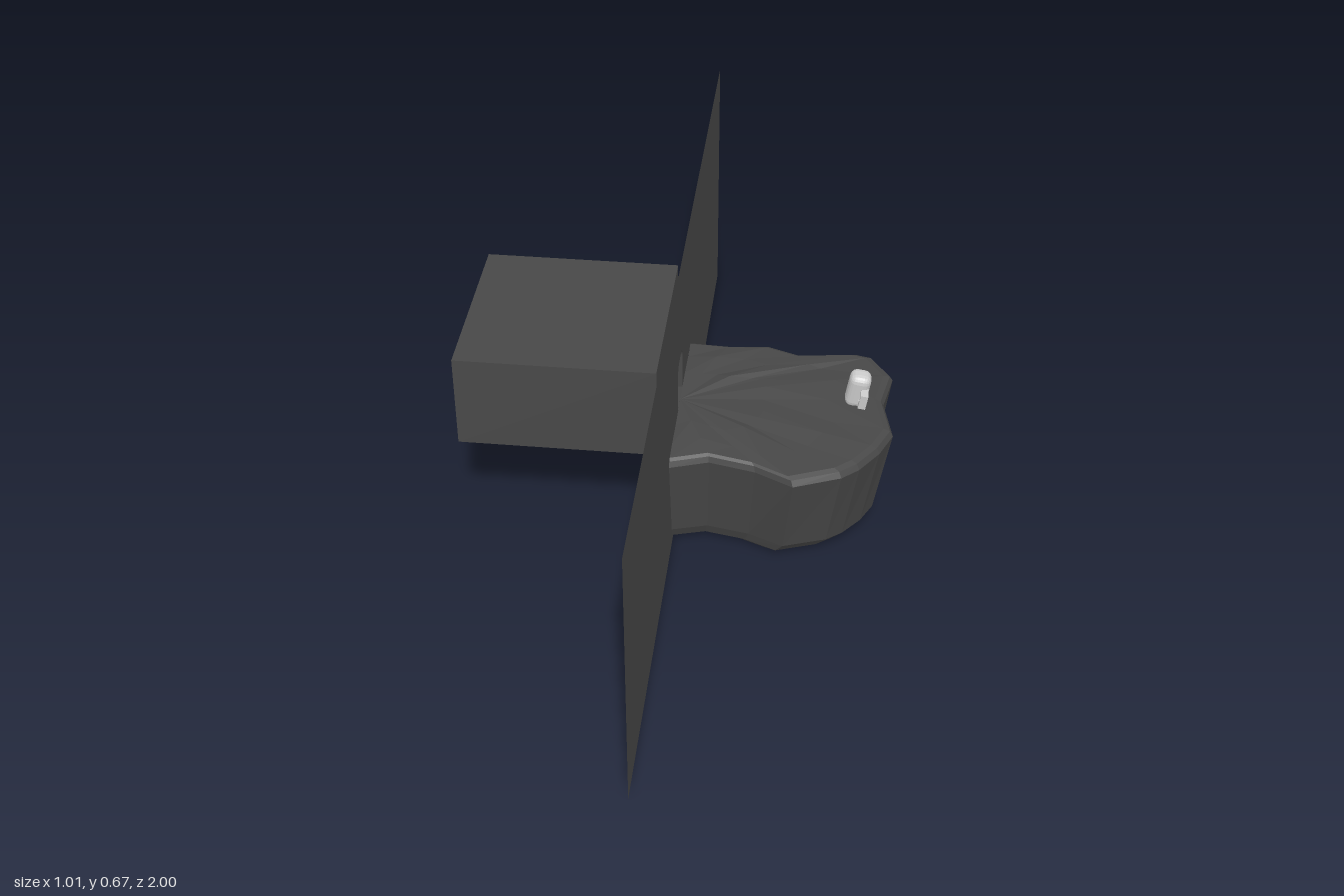
import * as THREE from 'three';
import { RoundedBoxGeometry } from 'three/addons/geometries/RoundedBoxGeometry.js';

const dark = new THREE.MeshStandardMaterial({ color: 0x484848, flatShading: true, side: THREE.DoubleSide });
const grey = new THREE.MeshStandardMaterial({ color: 0xcccccc, flatShading: true });

const WALL_X = -0.01, FLOOR_Y = 0.296;

// Ledge plan (x, z), from the wall round the free end and back to the wall
const plan = [
  [-0.01, -0.25], [0.09, -0.245], [0.19, -0.255], [0.27, -0.225], [0.41, -0.245], [0.45, -0.235],
  [0.5, -0.16], [0.48, -0.055], [0.505, 0.065], [0.475, 0.135], [0.43, 0.2], [0.39, 0.235],
  [0.28, 0.28], [0.19, 0.235], [0.08, 0.21], [-0.01, 0.24],
];
// Ledge levels: height, scale along x, scale along z
const levels = [
  [0, 0.76, 0.64], [0.015, 0.87, 0.74], [0.045, 0.93, 0.8], [0.275, 1, 1], [0.289, 0.985, 0.975],
  [0.294, 0.955, 0.94], [0.294, 0.72, 0.72], [0.295, 0.4, 0.42], [0.296, 0, 0],
];

function mesh(name, geometry, material, parent) {
  const m = new THREE.Mesh(geometry, material);
  m.name = name;
  parent.add(m);
  return m;
}

// Arched doorway outline, round-topped by radius r
function archPath(halfWidth, top, r, Kind = THREE.Path) {
  const p = new Kind();
  p.moveTo(-halfWidth, FLOOR_Y);
  p.lineTo(halfWidth, FLOOR_Y);
  p.lineTo(halfWidth, top - r);
  p.absarc(halfWidth - r, top - r, r, 0, Math.PI / 2, false);
  p.absarc(r - halfWidth, top - r, r, Math.PI / 2, Math.PI, false);
  p.closePath();
  return p;
}

// Flat panel at constant x, drawn in (z, y)
function panel(name, points, hole, x, parent) {
  const shape = new THREE.Shape(points.map(([z, y]) => new THREE.Vector2(z, y)));
  if (hole) shape.holes.push(hole);
  const g = new THREE.ShapeGeometry(shape, 8);
  g.rotateY(-Math.PI / 2);
  g.translate(x, 0, 0);
  return mesh(name, g, dark, parent);
}

// Rock ledge: scaled rings, open underneath and at the wall
function ledgeGeometry() {
  const pos = [], index = [], n = plan.length;
  levels.forEach(([y, sx, sz], i) => plan.forEach(([x, z], j) => {
    const px = WALL_X + (x - WALL_X) * sx;
    const bump = i === 6 || i === 7 ? 0.004 * Math.sin(j * 2.3 + i) + 0.006 * Math.exp(-(((px - 0.1) / 0.08) ** 2)) : 0;
    pos.push(px, y + bump, z * sz);
    if (i && j) {
      const d = i * n + j, c = d - 1, b = d - n, a = b - 1;
      index.push(a, c, b, b, c, d);
    }
  }));
  const g = new THREE.BufferGeometry();
  g.setAttribute('position', new THREE.Float32BufferAttribute(pos, 3));
  g.setIndex(index);
  const flat = g.toNonIndexed();
  flat.computeVertexNormals();
  return flat;
}

export function createModel() {
  const model = new THREE.Group();
  model.name = 'wallWithLedge';

  // Wall, notched where the ledge joins it and pierced by the doorway
  const [zBack, zFront] = [plan[0][1], plan[plan.length - 1][1]];
  const joint = levels.slice(0, 6);
  panel('wall', [
    [-1, 0],
    ...joint.map(([y, , s]) => [zBack * s, y]),
    ...joint.slice().reverse().map(([y, , s]) => [zFront * s, y]),
    [1, 0], [1, 0.67], [-1, 0.67],
  ], archPath(0.05, 0.42, 0.03), WALL_X, model);

  mesh('ledge', ledgeGeometry(), dark, model);

  // Short tunnel between the wall and the chamber
  const outline = archPath(0.05, 0.42, 0.03).getPoints(6);
  const pos = [];
  for (let i = 0; i < outline.length - 1; i++) {
    const p = outline[i], q = outline[i + 1];
    const quad = [[-0.04, p], [WALL_X, p], [WALL_X, q], [-0.04, p], [WALL_X, q], [-0.04, q]];
    quad.forEach(([x, v]) => pos.push(x, v.y, v.x));
  }
  const tunnel = new THREE.BufferGeometry();
  tunnel.setAttribute('position', new THREE.Float32BufferAttribute(pos, 3));
  tunnel.computeVertexNormals();
  mesh('doorTunnel', tunnel, dark, model);

  // Hollow chamber behind the wall, with a doorway at each end
  const chamber = new THREE.Group();
  chamber.name = 'chamber';
  model.add(chamber);
  const x0 = -0.51, x1 = -0.04, y0 = 0.295, y1 = 0.53, z0 = -0.23, z1 = 0.22;
  const face = [[z0, y0], [z1, y0], [z1, y1], [z0, y1]];
  panel('chamberBack', face, archPath(0.08, 0.435, 0.08), x0, chamber);
  panel('chamberFront', face, archPath(0.05, 0.42, 0.03), x1, chamber);
  const cx = (x0 + x1) / 2, cz = (z0 + z1) / 2, cy = (y0 + y1) / 2;
  [['chamberFloor', y0, Math.PI / 2], ['chamberRoof', y1, -Math.PI / 2]].forEach(([name, y, turn]) => {
    const m = mesh(name, new THREE.PlaneGeometry(x1 - x0, z1 - z0).rotateX(turn), dark, chamber);
    m.position.set(cx, y, cz);
  });
  [['chamberSideLeft', z1, 0], ['chamberSideRight', z0, Math.PI]].forEach(([name, z, turn]) => {
    const m = mesh(name, new THREE.PlaneGeometry(x1 - x0, y1 - y0).rotateY(turn), dark, chamber);
    m.position.set(cx, cy, z);
  });

  // Small leaning post with a loop handle on its side
  const post = new THREE.Group();
  post.name = 'post';
  post.position.set(0.416, 0.332, -0.042);
  post.rotation.set(0.08, 0, -0.15);
  model.add(post);
  mesh('postBody', new RoundedBoxGeometry(0.052, 0.095, 0.05, 2, 0.018), grey, post);
  [0.014, -0.018].forEach((y) => {
    mesh('handleArm', new THREE.BoxGeometry(0.018, 0.008, 0.024), grey, post).position.set(0.014, y, 0.032);
  });
  mesh('handleGrip', new THREE.BoxGeometry(0.018, 0.04, 0.008), grey, post).position.set(0.014, -0.002, 0.045);

  return model;
}
